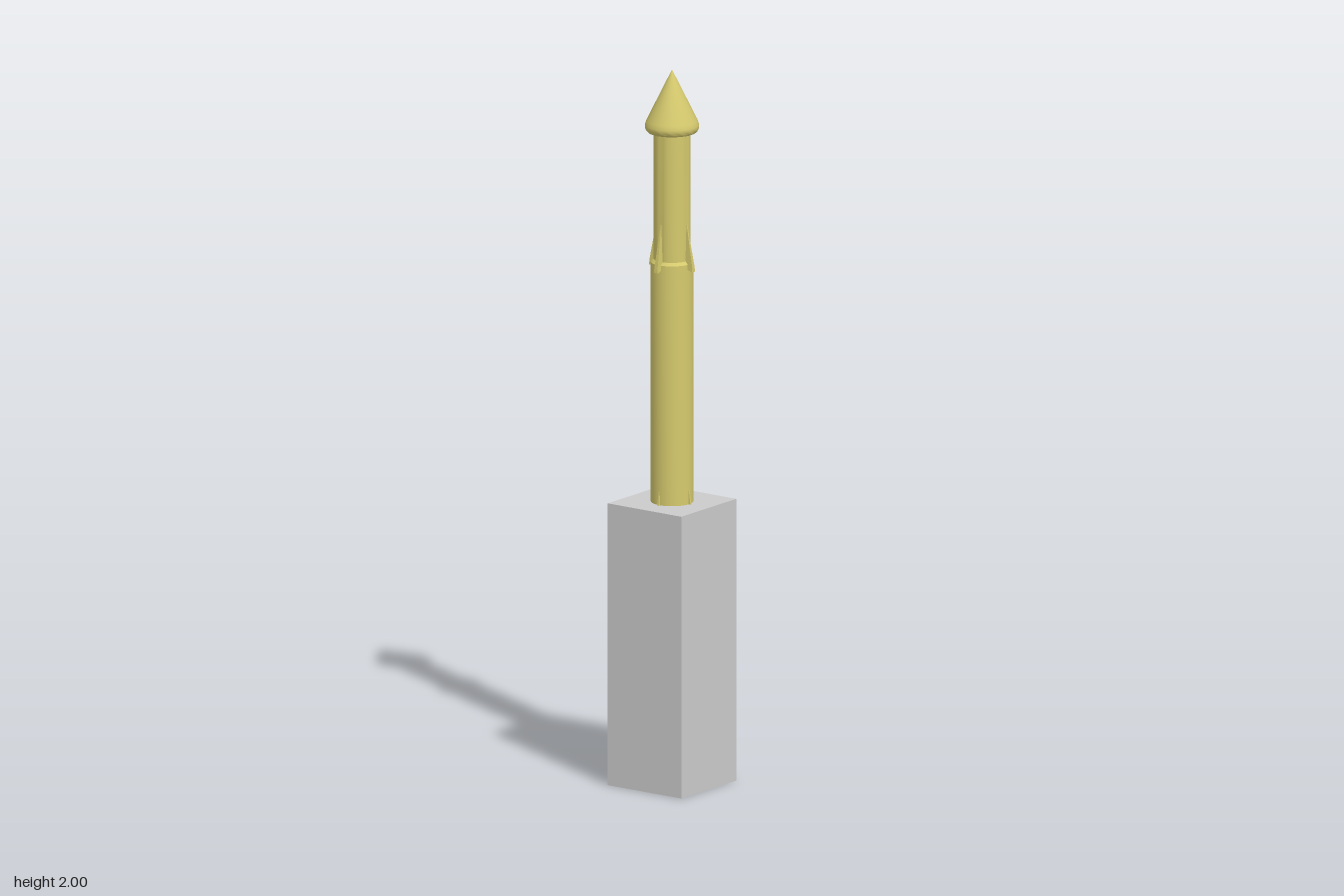
import * as THREE from 'three';
import { toCreasedNormals } from 'three/addons/utils/BufferGeometryUtils.js';

const SIDES = 32;

export function createModel() {
  const model = new THREE.Group();
  model.name = 'rocketOnPlinth';
  const grey = new THREE.MeshStandardMaterial({ color: 0xcccccc });
  const yellow = new THREE.MeshStandardMaterial({ color: 0xd6ca6e });

  const add = (name, geometry, material, parent = model) => {
    const mesh = new THREE.Mesh(geometry, material);
    mesh.name = name;
    parent.add(mesh);
    return mesh;
  };

  // Turned part from [radius, height] pairs, listed bottom to top
  const turned = (name, profile) => {
    const points = profile.map(([r, y]) => new THREE.Vector2(r, y));
    add(name, toCreasedNormals(new THREE.LatheGeometry(points, SIDES), 0.5), yellow);
  };

  // Square plinth
  const plinth = add('plinth', new THREE.BoxGeometry(0.25, 0.79, 0.25), grey);
  plinth.position.y = 0.395;

  // Lower stage with a bevelled shoulder, then the slimmer upper stage
  turned('lowerStage', [[0, 0.7], [0.058, 0.7], [0.058, 1.462], [0.051, 1.47], [0, 1.47]]);
  turned('upperStage', [[0.05, 1.46], [0.05, 1.84]]);

  // Overhanging nose cone with a rounded rim
  turned('noseCone', [
    [0, 1.826], [0.066, 1.826], [0.071, 1.831], [0.074, 1.838],
    [0.074, 1.846], [0.07, 1.858], [0, 2],
  ]);

  // Swept fin: its thickness shrinks to an edge towards the top
  const finGeometry = (bottom, top, inner, outer) => {
    const shape = new THREE.Shape();
    shape.moveTo(inner - 0.008, bottom + 0.008);
    shape.lineTo(outer, bottom);
    shape.lineTo(outer, bottom + 0.012);
    shape.lineTo(inner, top);
    shape.lineTo(inner - 0.008, top);
    const geometry = new THREE.ExtrudeGeometry(shape, { depth: 0.012, bevelEnabled: false });
    geometry.translate(0, 0, -0.006);
    const p = geometry.attributes.position;
    for (let i = 0; i < p.count; i++) {
      const t = (p.getY(i) - bottom) / (top - bottom);
      p.setZ(i, p.getZ(i) * (1 - 0.8 * t));
    }
    return toCreasedNormals(geometry, 0.3);
  };

  // Four fins around each stage
  const finRing = (name, geometry) => {
    const ring = new THREE.Group();
    ring.name = name;
    for (let i = 0; i < 4; i++) {
      add('fin', geometry, yellow, ring).rotation.y = (i * Math.PI) / 2;
    }
    model.add(ring);
  };
  finRing('upperFins', finGeometry(1.443, 1.572, 0.051, 0.073));
  finRing('lowerFins', finGeometry(0.7, 0.83, 0.058, 0.077));

  return model;
}
